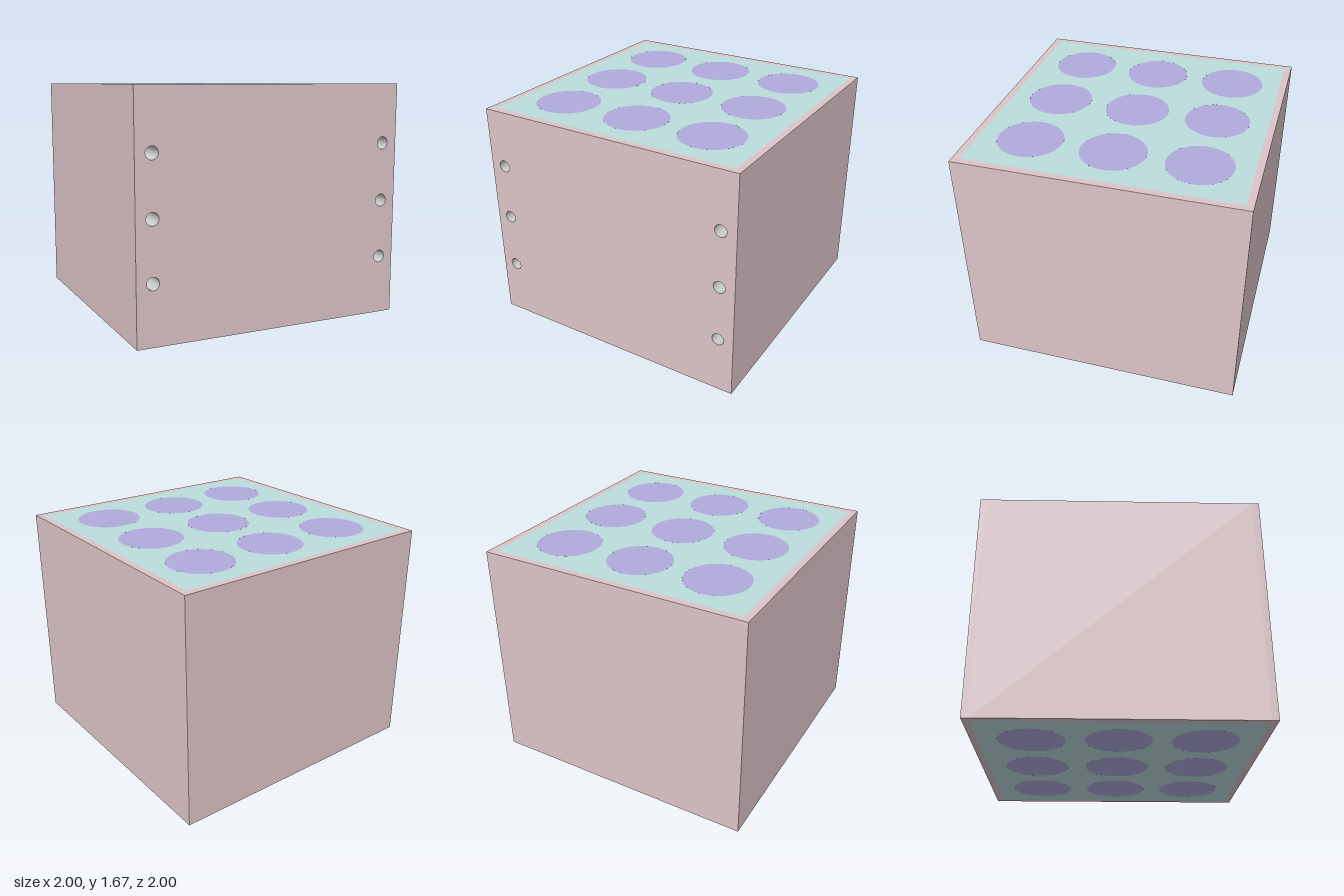
import * as THREE from 'three';

const H = 1.67, INNER = 0.95, WALL = 0.05;
const BORE_R = 0.044, BORE_X = 0.885, BORE_DEPTH = 0.3;
const BORE_YS = [0.42, 0.835, 1.25];
const ROD_R = 0.23, PITCH = 0.59;

const material = (color, side = THREE.FrontSide) => new THREE.MeshStandardMaterial({ color, side });

export function createModel() {
  const model = new THREE.Group();
  const pink = material(0xdcc4c8), teal = material(0xbbdcdc), purple = material(0xb0aadc);
  const grey = material(0xcccccc, THREE.DoubleSide);

  const add = (name, geometry, mat, x = 0, y = 0, z = 0) => {
    const mesh = new THREE.Mesh(geometry, mat);
    mesh.name = name;
    mesh.position.set(x, y, z);
    model.add(mesh);
    return mesh;
  };
  const circle = (x, y, r) => new THREE.Path().absarc(x, y, r, 0, Math.PI * 2, true);

  // Casing: front panel pierced by six bores, plain back and sides
  const front = new THREE.Shape([[-1, 0], [1, 0], [1, H], [-1, H]].map(p => new THREE.Vector2(...p)));
  for (const x of [-BORE_X, BORE_X])
    for (const y of BORE_YS) front.holes.push(circle(x, y, BORE_R));
  add('frontPanel', new THREE.ExtrudeGeometry(front, { depth: WALL, bevelEnabled: false, curveSegments: 32 }),
    pink, 0, 0, INNER);
  add('backPanel', new THREE.BoxGeometry(2, H, WALL), pink, 0, H / 2, -1 + WALL / 2);
  for (const s of [-1, 1])
    add(s > 0 ? 'leftPanel' : 'rightPanel', new THREE.BoxGeometry(WALL, H, 2 * INNER), pink,
      s * (1 - WALL / 2), H / 2, 0);

  // Core: stacked layers around the rods; layers at bore height are notched to clear the bores
  const corePlan = notched => {
    const a = INNER, x0 = BORE_X - BORE_R, x1 = BORE_X + BORE_R, s = -a + BORE_DEPTH;
    const pts = notched
      ? [[-a, -a], [-x1, -a], [-x1, s], [-x0, s], [-x0, -a], [x0, -a], [x0, s], [x1, s], [x1, -a], [a, -a]]
      : [[-a, -a], [a, -a]];
    const shape = new THREE.Shape([...pts, [a, a], [-a, a]].map(p => new THREE.Vector2(...p)));
    for (const i of [-1, 0, 1])
      for (const j of [-1, 0, 1]) shape.holes.push(circle(i * PITCH, j * PITCH, ROD_R));
    return shape;
  };
  const cuts = [0, ...BORE_YS.flatMap(y => [y - BORE_R, y + BORE_R]), H];
  for (let k = 0; k < cuts.length - 1; k++) {
    const layer = new THREE.ExtrudeGeometry(corePlan(k % 2 === 1),
      { depth: cuts[k + 1] - cuts[k], bevelEnabled: false, curveSegments: 64 });
    layer.rotateX(-Math.PI / 2);
    add('coreLayer', layer, teal, 0, cuts[k], 0);
  }

  // Nine full-height rods, flush with the core
  const rod = new THREE.CylinderGeometry(ROD_R, ROD_R, H, 64);
  for (const i of [-1, 0, 1])
    for (const j of [-1, 0, 1]) add('rod', rod, purple, i * PITCH, H / 2, j * PITCH);

  // Blind bore linings with drilled conical ends
  const lining = new THREE.LatheGeometry([
    new THREE.Vector2(0, -BORE_DEPTH),
    new THREE.Vector2(BORE_R, -BORE_DEPTH + 0.04),
    new THREE.Vector2(BORE_R, 0),
  ], 32);
  lining.rotateX(Math.PI / 2);
  for (const x of [-BORE_X, BORE_X])
    for (const y of BORE_YS) add('boreLining', lining, grey, x, y, 1);

  return model;
}
